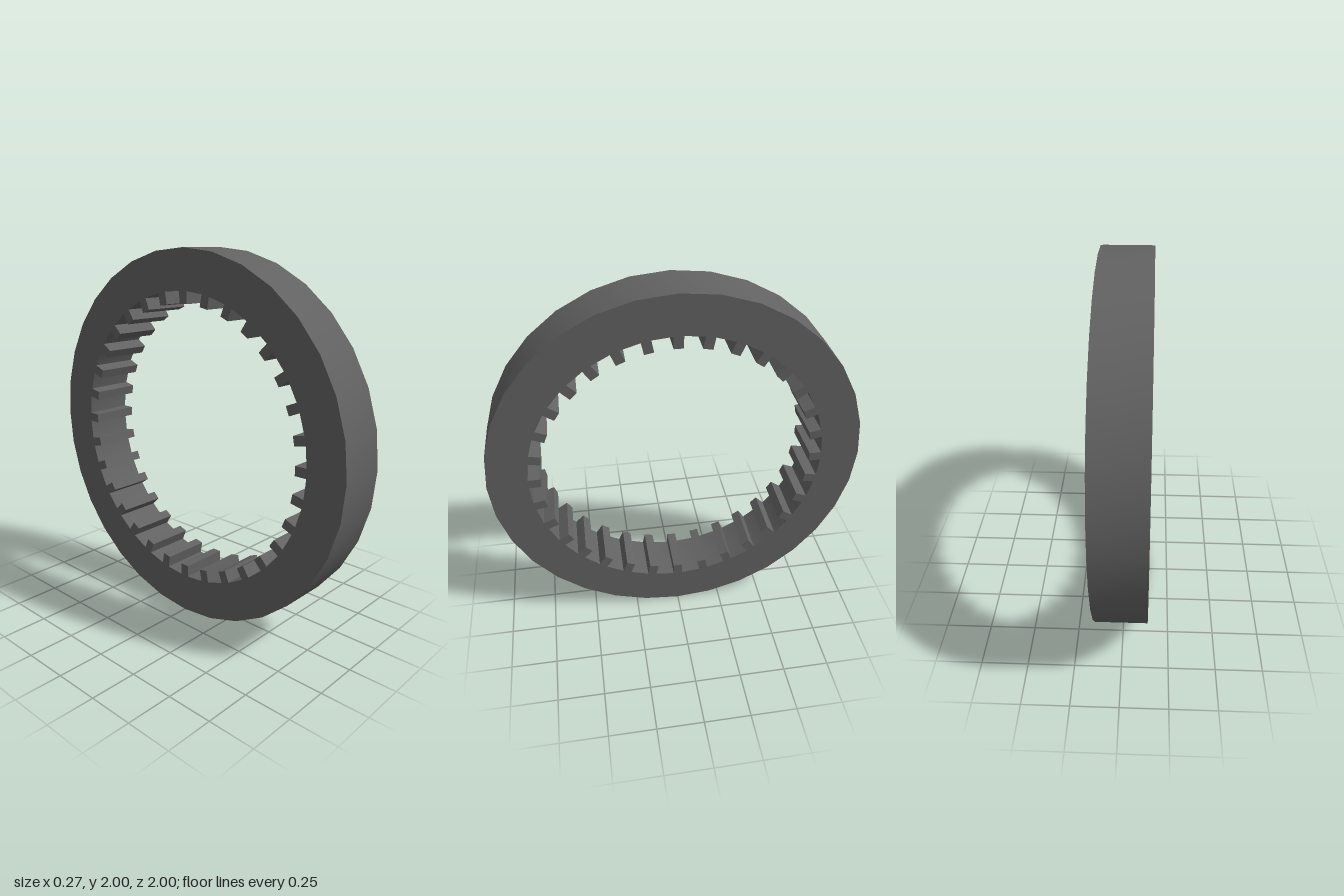
import * as THREE from 'three';
import { toCreasedNormals } from 'three/addons/utils/BufferGeometryUtils.js';

const COUNT = 32;        // sides of the ring and number of teeth
const OUTER = 1;
const INNER = 0.79;
const TIP = 0.723;       // radius at the tooth tips
const TOOTH_WIDTH = 0.05;
const DEPTH = 0.27;

function polygon(radius) {
  return Array.from({ length: COUNT }, (_, i) => {
    const a = (i / COUNT) * Math.PI * 2;
    return new THREE.Vector2(Math.cos(a) * radius, Math.sin(a) * radius);
  });
}

export function createModel() {
  const model = new THREE.Group();
  model.name = 'internalGear';
  const material = new THREE.MeshStandardMaterial({ color: 0x626262 });

  // Ring body: faceted outline, smoothly shaded rims, sharp edges
  const shape = new THREE.Shape(polygon(OUTER));
  shape.holes.push(new THREE.Path(polygon(INNER)));
  const ringGeometry = new THREE.ExtrudeGeometry(shape, { depth: DEPTH, bevelEnabled: false });
  ringGeometry.translate(0, 0, -DEPTH / 2);
  ringGeometry.rotateY(Math.PI / 2);
  const ring = new THREE.Mesh(toCreasedNormals(ringGeometry, 0.5), material);
  ring.name = 'ring';
  ring.position.y = OUTER;
  model.add(ring);

  // Inward teeth, one at every corner of the inner wall
  const teeth = new THREE.Group();
  teeth.name = 'teeth';
  teeth.position.y = OUTER;
  const toothGeometry = new THREE.BoxGeometry(DEPTH, INNER - TIP, TOOTH_WIDTH);
  toothGeometry.translate(0, (INNER + TIP) / 2, 0);
  for (let i = 0; i < COUNT; i++) {
    const tooth = new THREE.Mesh(toothGeometry, material);
    tooth.name = 'tooth';
    tooth.rotation.x = (i / COUNT) * Math.PI * 2;
    teeth.add(tooth);
  }
  model.add(teeth);

  return model;
}
